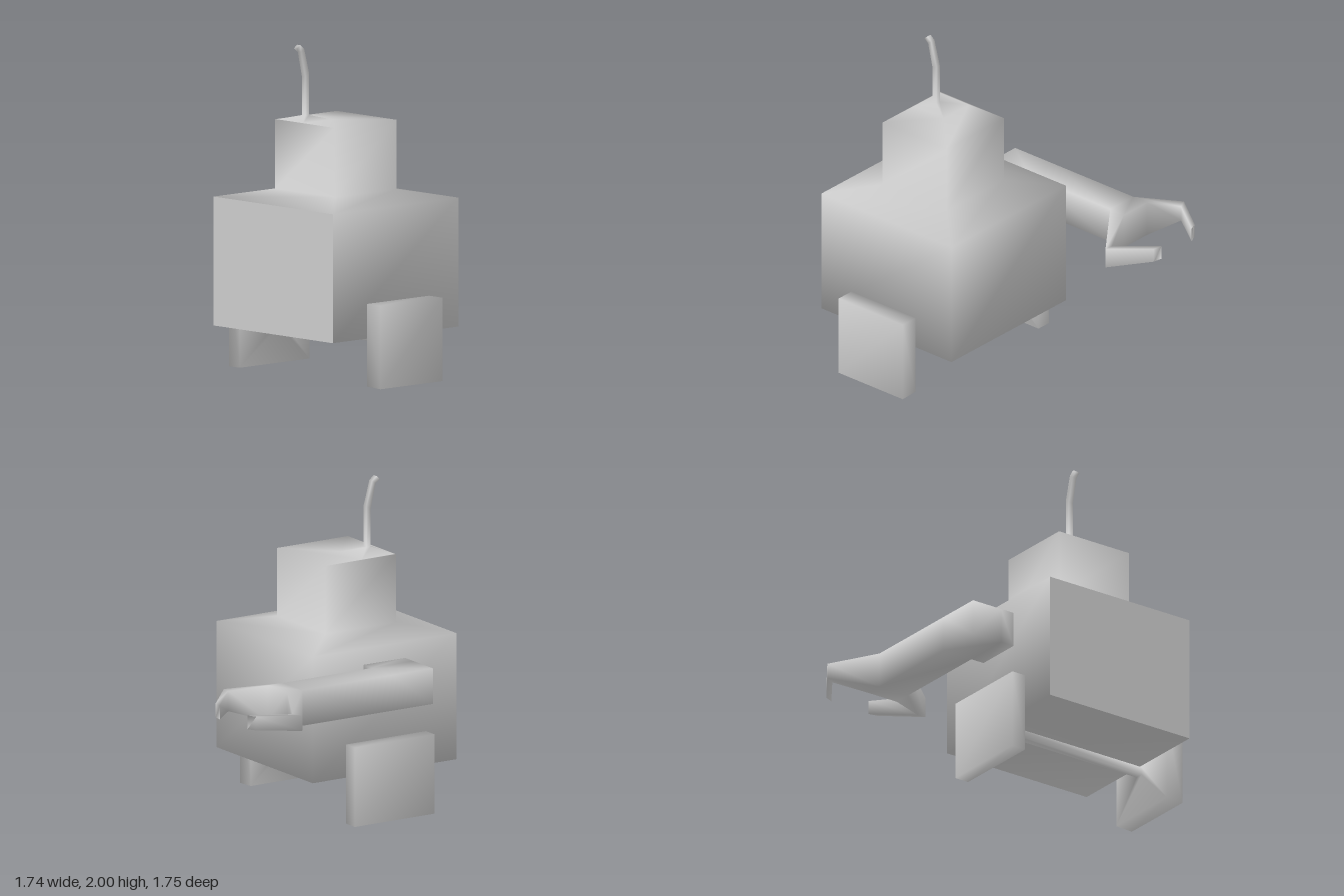
import * as THREE from 'three';
import { mergeVertices } from 'three/addons/utils/BufferGeometryUtils.js';

// Joins matching four-cornered sections into faces; skip lists "segment:side" openings.
function loft(sections, { start = true, end = true, skip = [] } = {}) {
  const faces = [];
  for (let s = 0; s < sections.length - 1; s++) {
    const a = sections[s], b = sections[s + 1];
    for (let i = 0; i < 4; i++) {
      const j = (i + 1) % 4;
      if (!skip.includes(`${s}:${i}`)) faces.push([a[i], a[j], b[j], b[i]]);
    }
  }
  if (start) faces.push([...sections[0]].reverse());
  if (end) faces.push(sections[sections.length - 1]);
  return faces;
}

// Welds the faces into one smooth-shaded mesh.
function smoothMesh(name, faces) {
  const positions = faces.flatMap(([a, b, c, d]) => [a, b, c, a, c, d].flat());
  let geometry = new THREE.BufferGeometry();
  geometry.setAttribute('position', new THREE.Float32BufferAttribute(positions, 3));
  geometry = mergeVertices(geometry, 1e-4);
  geometry.computeVertexNormals();
  const mesh = new THREE.Mesh(geometry, new THREE.MeshStandardMaterial({ color: 0xcccccc }));
  mesh.name = name;
  return mesh;
}

// Rectangular sections facing +y, +x and -z.
const level = (x0, x1, z0, z1, yBack, yFront = yBack) =>
  [[x0, yFront, z1], [x1, yFront, z1], [x1, yBack, z0], [x0, yBack, z0]];
const sideways = (x, y0, y1, z0, z1) => [[x, y0, z1], [x, y0, z0], [x, y1, z0], [x, y1, z1]];
const backward = (z, x0, x1, y0, y1) => [[x1, y0, z], [x0, y0, z], [x0, y1, z], [x1, y1, z]];
// Upright section between two plan points [x, z].
const blade = (p, q, y0, y1) =>
  [[p[0], y0, p[1]], [q[0], y0, q[1]], [q[0], y1, q[1]], [p[0], y1, p[1]]];

export function createModel() {
  const model = new THREE.Group();
  model.name = 'robot';

  // Box body, sloping shoulders, square head and bent antenna in one skin
  const torso = [
    level(-0.31, 0.73, -0.165, 0.87, 0.29),
    level(-0.31, 0.73, -0.165, 0.87, 1.07),
    level(-0.05, 0.47, 0.1, 0.61, 1.12),
    level(-0.05, 0.47, 0.1, 0.61, 1.54),
    level(-0.04, 0.19, 0.37, 0.605, 1.54),
    level(0.09, 0.12, 0.488, 0.52, 1.57),
    level(0.09, 0.12, 0.488, 0.52, 1.82, 1.805),
    level(0.09, 0.12, 0.53, 0.555, 1.975, 1.957),
    level(0.09, 0.12, 0.562, 0.585, 2.0, 1.98),
  ];
  model.add(smoothMesh('bodyHeadAndAntenna', loft(torso, { skip: ['0:0'] })));

  // Flat front panel
  const [low, high] = torso;
  model.add(smoothMesh('frontPanel', [[low[0], low[1], high[1], high[0]]]));

  // Square wheels with inner faces tapering to a thin axle
  model.add(smoothMesh('wheelsAndAxle', loft([
    sideways(-0.42, 0.01, 0.5, 0.065, 0.64),
    sideways(-0.325, 0.01, 0.5, 0.065, 0.64),
    sideways(-0.305, 0.235, 0.285, 0.33, 0.38),
    sideways(0.735, 0.235, 0.285, 0.33, 0.38),
    sideways(0.755, 0.005, 0.505, 0.1, 0.61),
    sideways(0.87, 0, 0.505, 0.1, 0.61),
  ])));

  // Arm with a shoulder stub, reaching backward to the palm
  const yLow = 0.75, yHigh = 0.97, outer = -0.61, inner = -0.4;
  const arm = loft(
    [0.5, 0.2, -0.44, -0.55].map((z) => backward(z, outer, inner, yLow, yHigh)),
    { skip: ['0:3', '2:1', '2:3'] },
  );
  const shoulder = loft(
    [inner, -0.31].map((x) => sideways(x, yLow, yHigh, 0.2, 0.5)),
    { start: false },
  );

  // Two bent claw fingers growing from the sides of the palm
  const rightFinger = loft([
    blade([outer, -0.55], [outer, -0.44], yLow, yHigh),
    blade([-0.81, -0.645], [-0.87, -0.615], 0.8, 0.895),
    blade([-0.655, -0.865], [-0.71, -0.84], 0.8, 0.885),
  ], { start: false });
  const leftFinger = loft([
    blade([inner, -0.44], [inner, -0.55], yLow, yHigh),
    blade([-0.1, -0.665], [-0.155, -0.67], 0.775, 0.9),
    blade([-0.31, -0.865], [-0.37, -0.875], 0.8, 0.885),
  ], { start: false });
  model.add(smoothMesh('armAndClaw', [...arm, ...shoulder, ...rightFinger, ...leftFinger]));

  return model;
}
